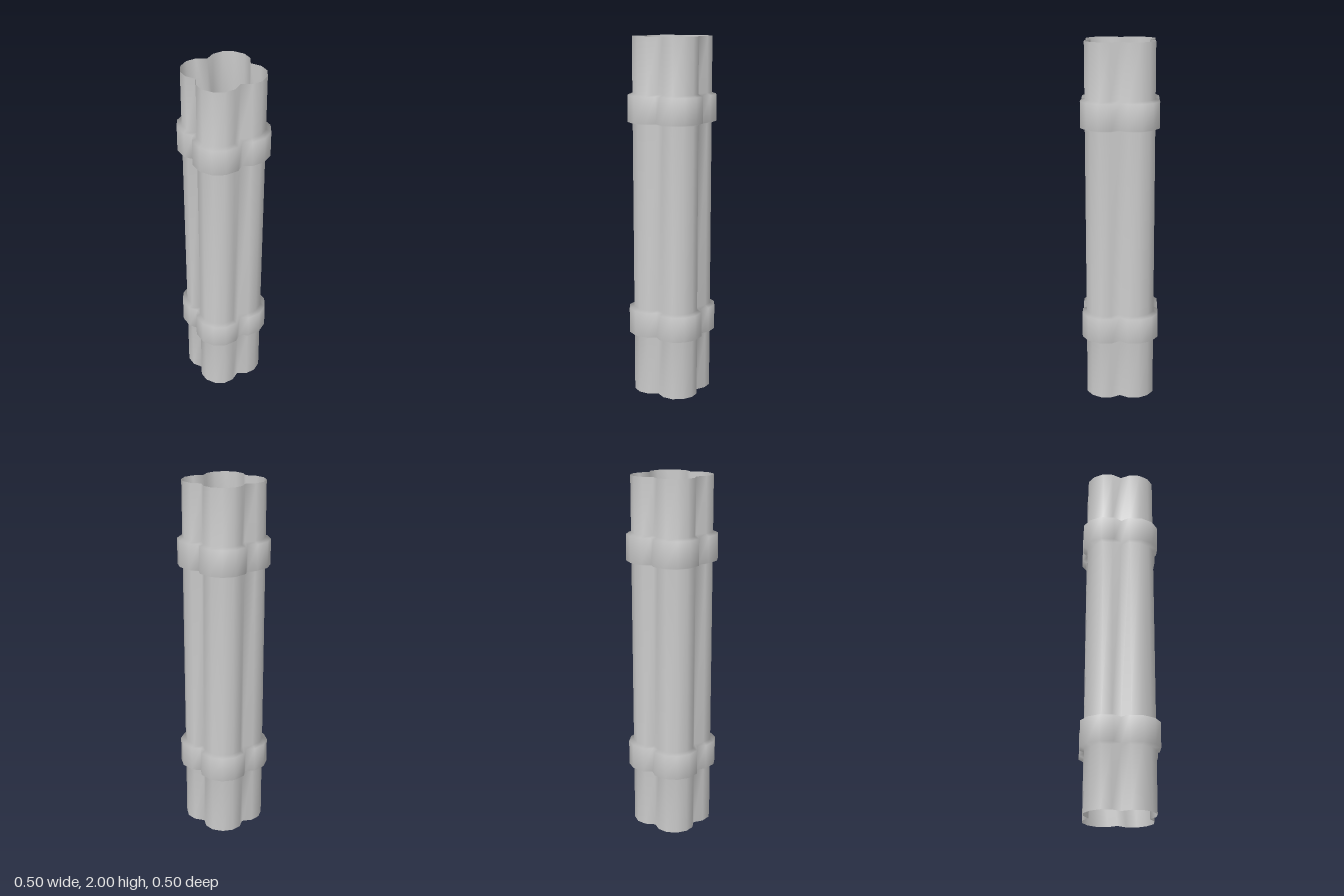
import * as THREE from 'three';

// One quarter of each four-lobed cross-section, as [x, z]
const PIPE = [[0.222, 0], [0.208, 0.058], [0.168, 0.098], [0.112, 0.112], [0.098, 0.168], [0.058, 0.208]];
const COLLAR = [[0.25, 0], [0.232, 0.068], [0.18, 0.12], [0.128, 0.128], [0.12, 0.18], [0.068, 0.232]];

// Turn a quarter section four times to close the outline
function outline(quarter) {
  const points = [];
  for (let k = 0; k < 4; k++) {
    for (let [x, z] of quarter) {
      for (let t = 0; t < k; t++) [x, z] = [-z, x];
      points.push([x, z]);
    }
  }
  return points;
}

// Skin a stack of [height, outline] rings with an open, smooth wall
function loft(rings) {
  const positions = [], index = [];
  const n = rings[0][1].length;
  rings.forEach(([y, points], j) => {
    points.forEach(([x, z], i) => {
      positions.push(x, y, z);
      if (j === rings.length - 1) return;
      const a = j * n + i, b = j * n + (i + 1) % n;
      index.push(a, a + n, b, b, a + n, b + n);
    });
  });
  const geometry = new THREE.BufferGeometry();
  geometry.setAttribute('position', new THREE.Float32BufferAttribute(positions, 3));
  geometry.setIndex(index);
  geometry.computeVertexNormals();
  return geometry;
}

export function createModel() {
  const group = new THREE.Group();
  group.name = 'lobedPipe';
  const material = new THREE.MeshStandardMaterial({ color: 0xcccccc, side: THREE.DoubleSide });
  const pipe = outline(PIPE), collar = outline(COLLAR);

  // Pipe wall swelling into two bevelled collars
  const rings = [[0, pipe]];
  for (const y of [0.337, 1.535]) {
    rings.push([y, pipe], [y + 0.01, collar], [y + 0.152, collar], [y + 0.163, pipe]);
  }
  rings.push([2, pipe]);

  const wall = new THREE.Mesh(loft(rings), material);
  wall.name = 'pipeWithCollars';
  group.add(wall);
  return group;
}
